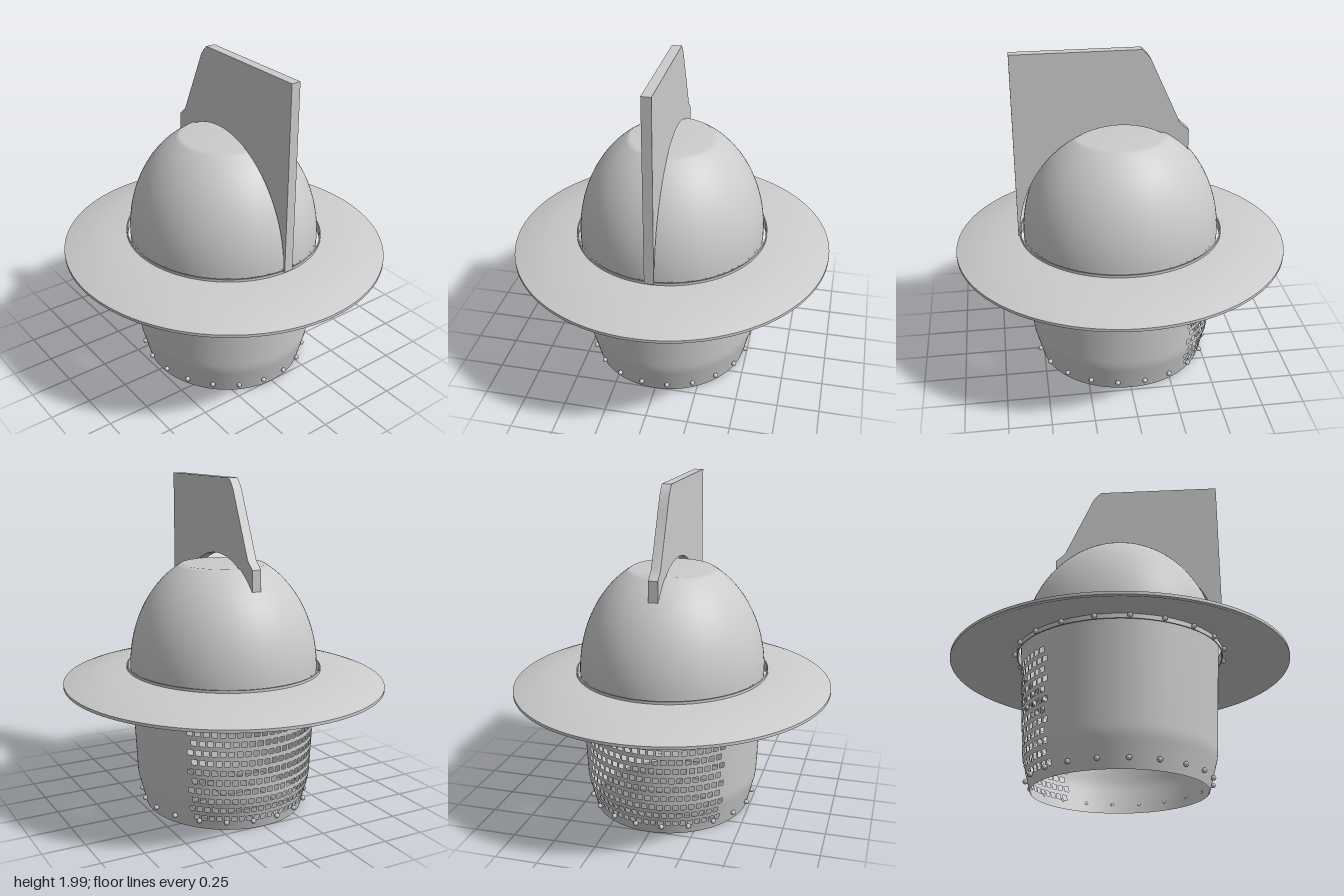
import * as THREE from 'three';
import { toCreasedNormals } from 'three/addons/utils/BufferGeometryUtils.js';

const material = new THREE.MeshStandardMaterial({ color: 0xcccccc, side: THREE.DoubleSide });
const RATIO = 0.945; // the plan is an oval, narrower across x

function add(parent, name, geometry) {
  const mesh = new THREE.Mesh(geometry, material);
  mesh.name = name;
  parent.add(mesh);
  return mesh;
}

// Oval shell swept from a profile of [zRadius, y, xRadius?]; isHole(i, j) leaves a cell open.
// Segment 0 starts at the back.
function ovalShell(profile, segments, isHole = () => false) {
  const positions = [], index = [];
  for (const [rz, y, rx = rz * RATIO] of profile) {
    for (let i = 0; i < segments; i++) {
      const a = (i / segments) * Math.PI * 2;
      positions.push(rx * Math.sin(a), y, -rz * Math.cos(a));
    }
  }
  for (let j = 0; j < profile.length - 1; j++) {
    for (let i = 0; i < segments; i++) {
      if (isHole(i, j)) continue;
      const n = (i + 1) % segments, lo = j * segments, hi = lo + segments;
      index.push(lo + n, lo + i, hi + i, lo + n, hi + i, hi + n);
    }
  }
  const g = new THREE.BufferGeometry();
  g.setAttribute('position', new THREE.Float32BufferAttribute(positions, 3));
  g.setIndex(index);
  g.computeVertexNormals();
  return g;
}

// Ring of small studs following the oval
function studRing(parent, name, rz, y) {
  const group = new THREE.Group();
  group.name = name;
  parent.add(group);
  const stud = new THREE.SphereGeometry(0.015, 12, 8);
  for (let k = 0; k < 20; k++) {
    const a = ((k + 0.5) / 20) * Math.PI * 2;
    add(group, 'stud', stud).position.set(rz * RATIO * Math.sin(a), y, rz * Math.cos(a));
  }
}

// Lower wall, pierced at the back by staggered rows of small square holes
function wallGeometry() {
  const rows = 12, cells = 6, segments = 72 * cells;
  const radius = (y) => (y < 0.19
    ? THREE.MathUtils.mapLinear(y, 0, 0.19, 0.504, 0.555)
    : THREE.MathUtils.mapLinear(y, 0.19, 0.86, 0.555, 0.59));
  const ys = [0];
  for (let k = 0; k < rows; k++) {
    const c = 0.075 + k * 0.0582;
    ys.push(c - 0.0155, c + 0.0155);
  }
  ys.push(0.86);
  const isHole = (i, j) => {
    if (j % 2 === 0) return false; // solid strip between rows
    const row = (j - 1) / 2;
    const s = (i + segments / 2) % segments - segments / 2 + 10 * cells - (row % 2) * (cells / 2);
    return s >= 0 && s < 20 * cells && s % cells < 4;
  };
  return ovalShell(ys.map((y) => [radius(y), y]), segments, isHole);
}

// Rounded crown with a flattened top
function domeGeometry() {
  const profile = [], end = Math.acos(0.26 / 0.59);
  for (let k = 0; k <= 24; k++) {
    const t = (k / 24) * end;
    profile.push([0.59 * Math.cos(t), 0.86 + 0.69 * Math.sin(t)]);
  }
  profile.push([0, 0.86 + 0.69 * Math.sin(end)]);
  return ovalShell(profile, 96);
}

// Broad drooping brim, underside first and then back over the top
function brimGeometry() {
  const oval = (r, y) => [r, y, r * THREE.MathUtils.mapLinear(r, 0.607, 1, 0.945, 0.96)];
  const under = [[0.607, 0.838], [0.7, 0.83], [0.8, 0.812], [0.9, 0.786], [0.96, 0.764], [0.975, 0.757]];
  const over = [[1, 0.757], [1, 0.774], [0.95, 0.791], [0.9, 0.805], [0.85, 0.818], [0.8, 0.829],
    [0.7, 0.845], [0.607, 0.853]];
  return toCreasedNormals(ovalShell([...under, ...over].map(([r, y]) => oval(r, y)), 96), 0.7);
}

// Upright fin along the centre line, its lower edge arched over the crown
function crestGeometry() {
  const width = 0.056;
  const shape = new THREE.Shape();
  shape.moveTo(0.622, 0.86);
  for (const [z, y] of [[0.622, 1.985], [-0.12, 1.985], [-0.147, 1.96], [-0.172, 1.925],
    [-0.21, 1.84], [-0.345, 1.54], [-0.365, 1.52], [-0.4, 1.49]]) shape.lineTo(z, y);
  const start = Math.PI - Math.acos(0.4 / 0.6);
  for (let k = 0; k <= 32; k++) {
    const t = start * (1 - k / 32);
    shape.lineTo(0.6 * Math.cos(t) + 0.012 * (k / 32), 0.84 + 0.695 * Math.sin(t) + 0.02 * (k / 32));
  }
  const g = new THREE.ExtrudeGeometry(shape, { depth: width, bevelEnabled: false });
  g.rotateY(-Math.PI / 2);
  g.translate(width / 2, 0, 0);
  return toCreasedNormals(g, 0.6);
}

export function createModel() {
  const model = new THREE.Group();
  model.name = 'crestedHelmet';
  add(model, 'lowerWall', wallGeometry());
  add(model, 'dome', domeGeometry());
  add(model, 'brim', brimGeometry());
  // Thin collar lining the opening of the brim
  add(model, 'brimCollar', toCreasedNormals(
    ovalShell([[0.607, 0.81], [0.614, 0.81], [0.614, 0.868], [0.607, 0.868], [0.607, 0.81]], 96), 0.6));
  add(model, 'crest', crestGeometry());
  studRing(model, 'lowerStuds', 0.53, 0.055);
  studRing(model, 'brimStuds', 0.625, 0.822);
  return model;
}
